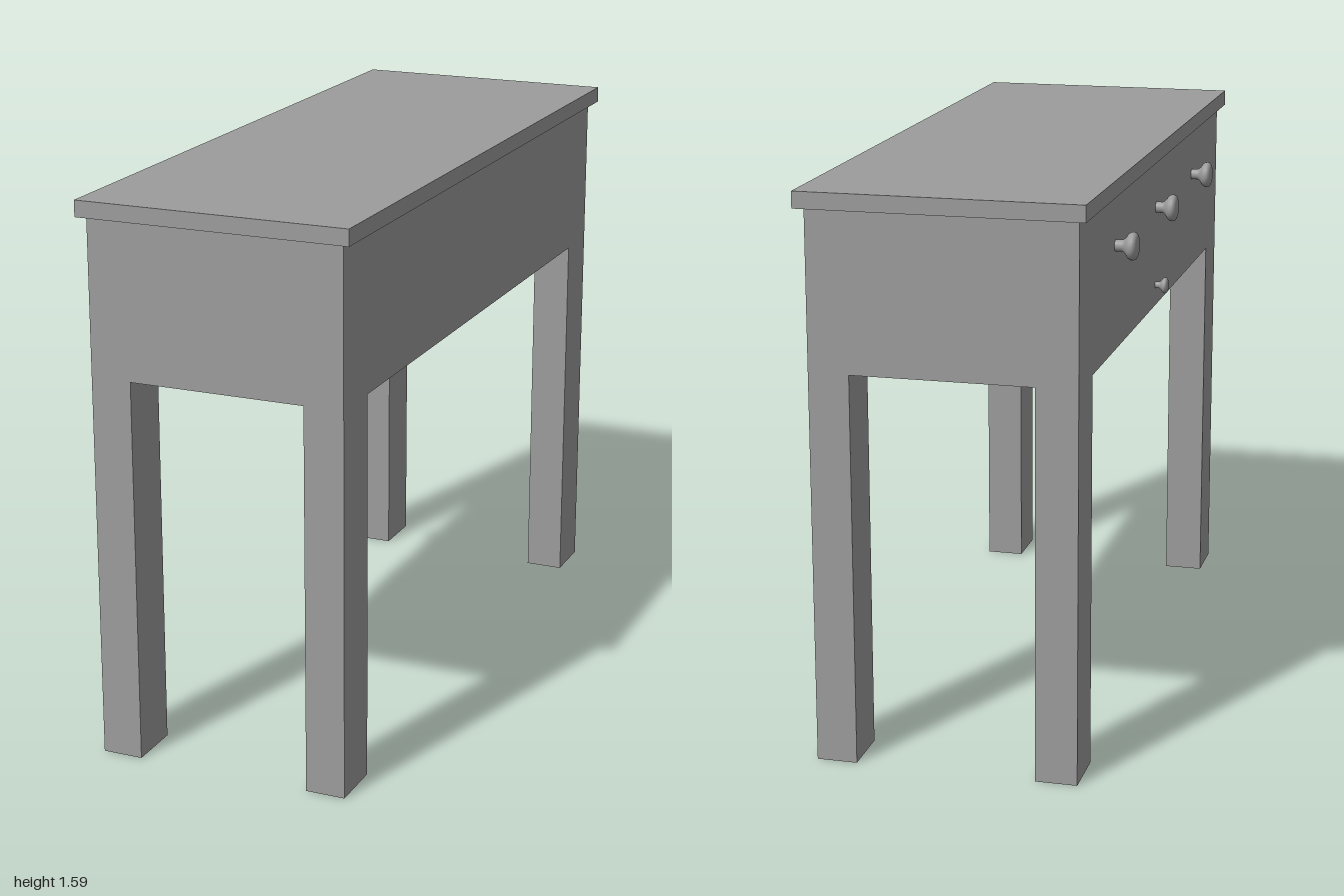
import * as THREE from 'three';

const material = new THREE.MeshStandardMaterial({ color: 0x9c9c9c });
const openMaterial = new THREE.MeshStandardMaterial({ color: 0x9c9c9c, side: THREE.DoubleSide });

// Box given by its limits on each axis
function box(name, [x0, x1], [y0, y1], [z0, z1]) {
  const mesh = new THREE.Mesh(new THREE.BoxGeometry(x1 - x0, y1 - y0, z1 - z0), material);
  mesh.position.set((x0 + x1) / 2, (y0 + y1) / 2, (z0 + z1) / 2);
  mesh.name = name;
  return mesh;
}

// Hollow square leg: keep only the four side walls of a box
function leg(name, xs, ys, zs) {
  const mesh = box(name, xs, ys, zs);
  const index = Array.from(mesh.geometry.index.array);
  mesh.geometry.setIndex([...index.slice(0, 12), ...index.slice(24)]);
  mesh.geometry.clearGroups();
  mesh.material = openMaterial;
  return mesh;
}

export function createModel() {
  const table = new THREE.Group();
  table.name = 'sideTable';

  // Top board and drawer case
  table.add(box('tabletop', [-0.37, 0.41], [1.541, 1.587], [-1, 1]));
  table.add(box('drawerCase', [-0.348, 0.385], [1.099, 1.541], [-0.977, 0.977]));

  // Four legs flush with the case corners
  for (const [side, xs] of [['Right', [-0.348, -0.232]], ['Left', [0.272, 0.385]]]) {
    table.add(leg('front' + side + 'Leg', xs, [0, 1.099], [0.82, 0.977]));
    table.add(leg('back' + side + 'Leg', xs, [0, 1.099], [-0.977, -0.82]));
  }

  // Turned knobs: three large ones in a row and a small one below
  const profile = [
    [0.016, 0], [0.016, 0.02], [0.022, 0.028], [0.034, 0.036], [0.038, 0.043],
    [0.039, 0.05], [0.036, 0.057], [0.027, 0.061], [0, 0.062],
  ].map(([r, h]) => new THREE.Vector2(r, h));
  const knobGeometry = new THREE.LatheGeometry(profile, 24);
  const knob = (name, y, z, scale) => {
    const mesh = new THREE.Mesh(knobGeometry, material);
    mesh.name = name;
    mesh.rotation.z = Math.PI / 2;
    mesh.position.set(-0.348, y, z);
    mesh.scale.setScalar(scale);
    table.add(mesh);
  };
  [-0.55, 0, 0.55].forEach((z, i) => knob('drawerKnob' + (i + 1), 1.391, z, 1));
  knob('smallKnob', 1.16, 0, 0.6);

  return table;
}
